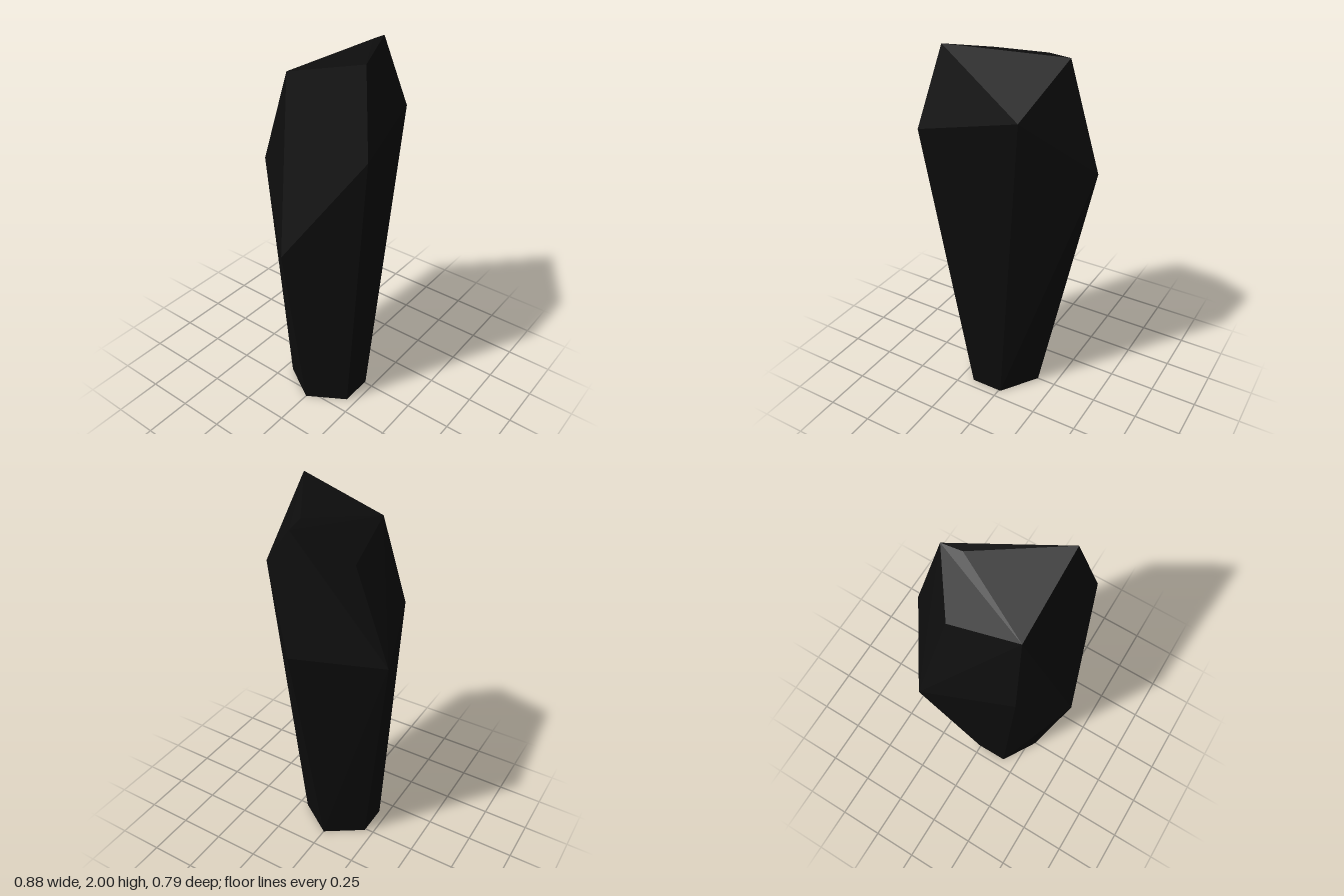
import * as THREE from 'three';
import { ConvexGeometry } from 'three/addons/geometries/ConvexGeometry.js';

// Faceted dark stone shard: a narrow foot, a wide shoulder and a sloping cut top.
export function createModel() {
  const group = new THREE.Group();
  group.name = 'stoneShard';

  const darkStone = new THREE.MeshStandardMaterial({ color: 0x0d0d0d });
  darkStone.name = 'darkStone';

  // Flat hexagonal foot
  const foot = [
    [-0.29, 0, 0], [-0.17, 0, -0.2], [0.01, 0, -0.2],
    [0.145, 0, 0], [0.01, 0, 0.2], [-0.17, 0, 0.2],
  ];
  // Uneven shoulder ring
  const shoulder = [
    [-0.44, 1.04, 0], [-0.25, 1.42, -0.25], [0.19, 1.32, -0.395],
    [0.44, 1.39, -0.01], [0.17, 1.69, 0.28], [-0.295, 1.61, 0.392],
  ];
  // Slanted crown, lower towards the back
  const crown = [
    [-0.2, 1.87, -0.135], [0.14, 1.77, -0.185], [0.305, 1.945, 0.05],
    [0.2, 1.956, 0.06], [-0.2, 2, 0.305],
  ];

  const points = [...foot, ...shoulder, ...crown].map((p) => new THREE.Vector3(...p));
  const shard = new THREE.Mesh(new ConvexGeometry(points), darkStone);
  shard.name = 'shard';
  group.add(shard);
  return group;
}
